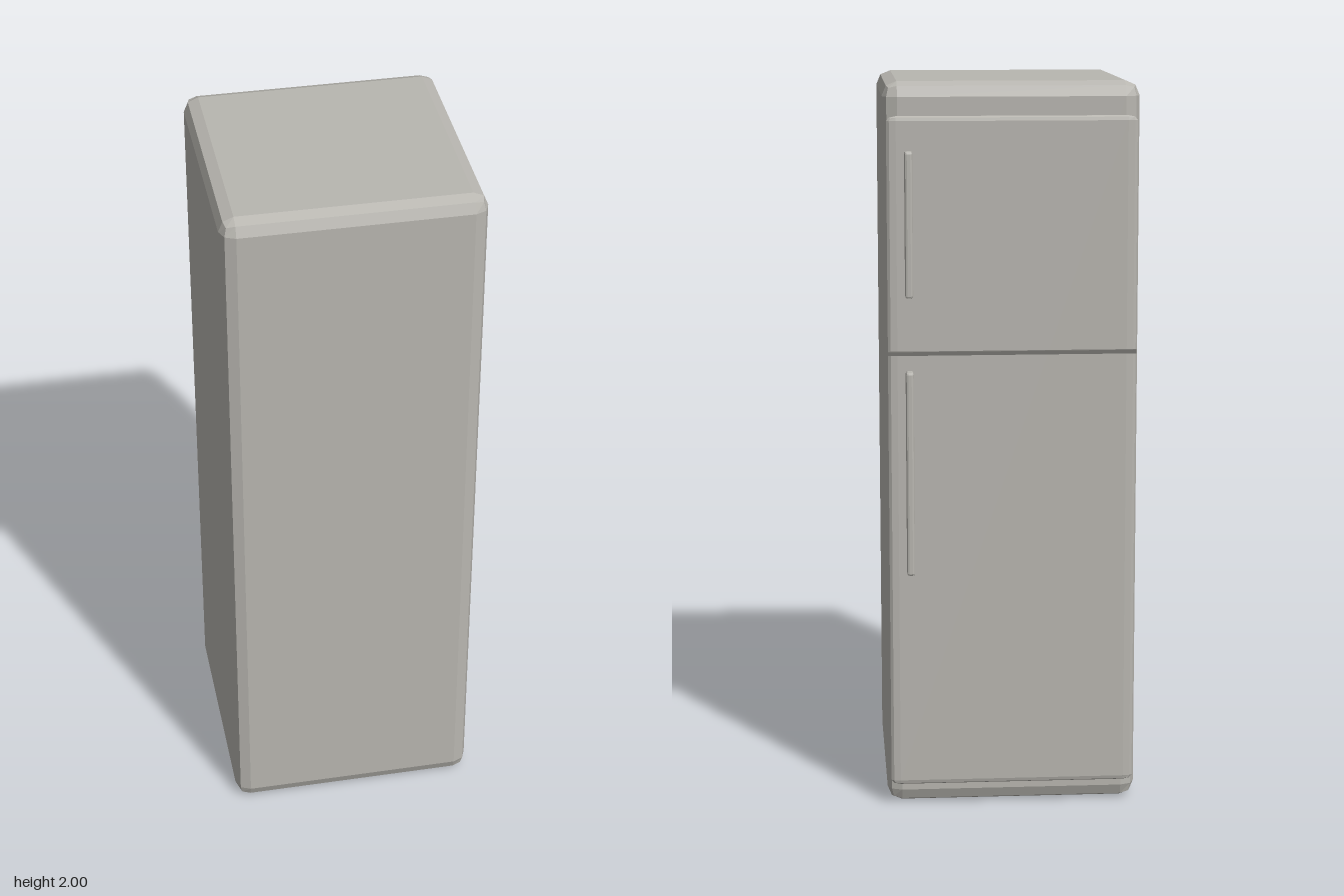
import * as THREE from 'three';
import { RoundedBoxGeometry } from 'three/addons/geometries/RoundedBoxGeometry.js';

const enamel = new THREE.MeshStandardMaterial({ color: 0xb8b6b0, flatShading: true });
enamel.name = 'grey enamel';
const darkTrim = new THREE.MeshStandardMaterial({ color: 0x757470 });
darkTrim.name = 'dark trim';

// Box with two-facet bevels; stretch widens the bevel along each axis.
function bevelBox(name, [w, h, d], radius, [x, y, z], stretch = [1, 1, 1]) {
  const [sx, sy, sz] = stretch;
  const geometry = new RoundedBoxGeometry(w / sx, h / sy, d / sz, 1, radius);
  geometry.scale(sx, sy, sz);
  geometry.computeVertexNormals();
  const mesh = new THREE.Mesh(geometry, enamel);
  mesh.name = name;
  mesh.position.set(x, y, z);
  return mesh;
}

export function createModel() {
  const group = new THREE.Group();
  group.name = 'refrigerator';

  // Cabinet; the doors are on the -z side
  group.add(bevelBox('cabinet', [0.692, 2, 0.685], 0.04, [0, 1, 0.0335]));

  // Thin door slab with wide, shallow bevels
  group.add(bevelBox('doorPanel', [0.672, 1.85, 0.018], 0.0085, [0, 0.985, -0.317], [3, 1.5, 1]));

  // Trim strip separating freezer and fridge doors
  const strip = new THREE.Mesh(new THREE.BoxGeometry(0.672, 0.01, 0.013), darkTrim);
  strip.name = 'doorDivider';
  strip.position.set(0, 1.275, -0.3315);
  group.add(strip);

  // Upright handles
  for (const [name, bottom, top] of [['freezerHandle', 1.43, 1.82], ['fridgeHandle', 0.67, 1.23]]) {
    group.add(bevelBox(name, [0.021, top - bottom, 0.043], 0.006, [0.279, (bottom + top) / 2, -0.3575]));
  }
  return group;
}
